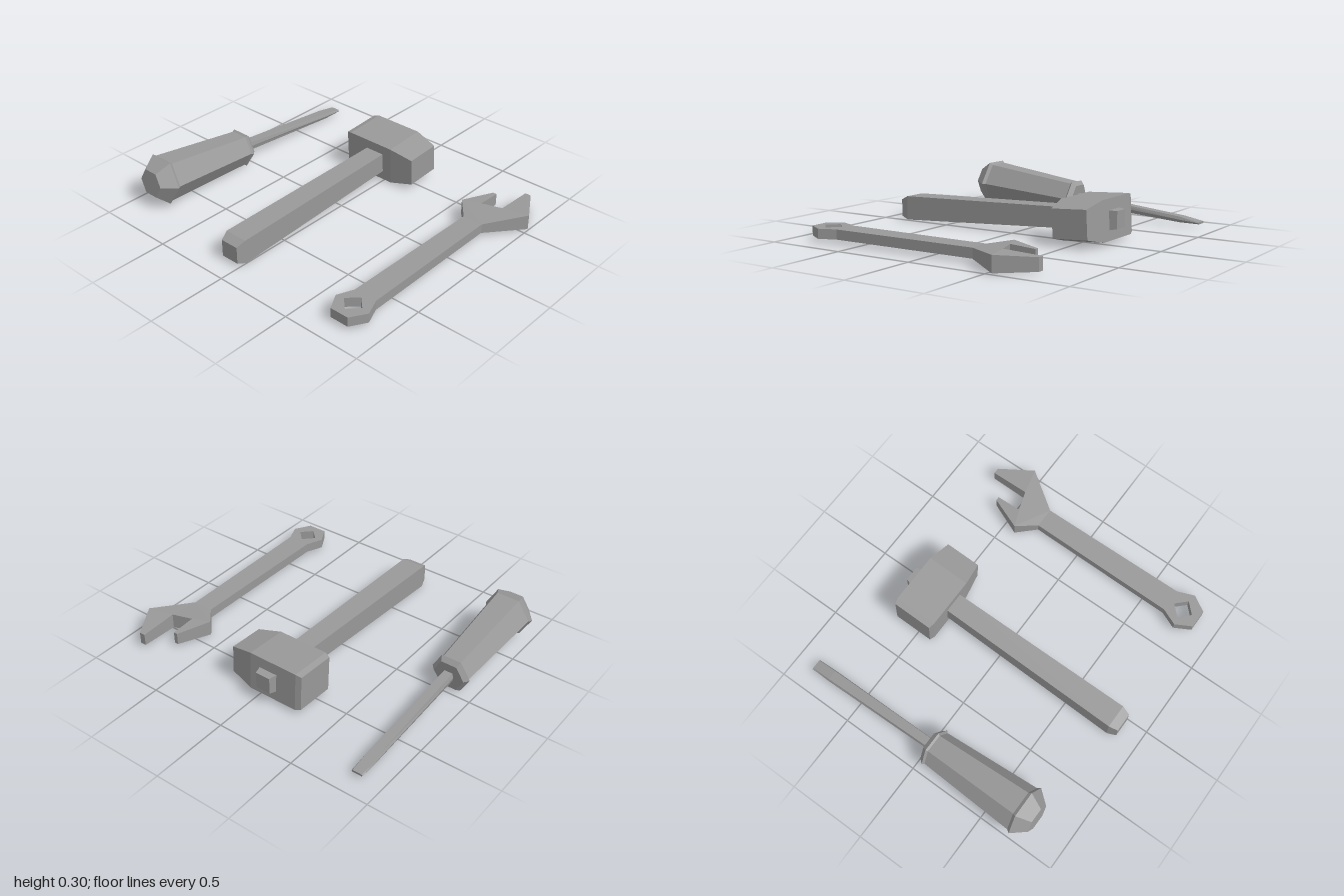
import * as THREE from 'three';

const gray = new THREE.MeshStandardMaterial({ color: 0x999999, flatShading: true });
gray.name = 'gray';

function fromTriangles(positions) {
  const geo = new THREE.BufferGeometry();
  geo.setAttribute('position', new THREE.Float32BufferAttribute(positions, 3));
  geo.computeVertexNormals();
  return geo;
}

// Skin a list of rings running from +z towards -z; each ring is [z, [[x, y], ...]] counter-clockwise.
function loft(rings) {
  const out = [];
  const n = rings[0][1].length;
  const at = (k, i) => [...rings[k][1][i % n], rings[k][0]];
  const tri = (...pts) => pts.forEach((p) => out.push(...p));
  const last = rings.length - 1;
  for (let k = 0; k < last; k++) {
    for (let i = 0; i < n; i++) {
      tri(at(k, i), at(k + 1, i), at(k, i + 1));
      tri(at(k + 1, i), at(k + 1, i + 1), at(k, i + 1));
    }
  }
  for (let i = 1; i < n - 1; i++) {
    tri(at(0, 0), at(0, i), at(0, i + 1));
    tri(at(last, 0), at(last, i + 1), at(last, i));
  }
  return fromTriangles(out);
}

const hexagon = (r) => Array.from({ length: 6 }, (_, i) => [r * Math.cos(i * Math.PI / 3), r * Math.sin(i * Math.PI / 3)]);
const rect = (x0, x1, y0, y1) => [[x0, y0], [x1, y0], [x1, y1], [x0, y1]];
const flatHex = (w, h) => [[w, 0], [w * 0.8, h], [-w * 0.8, h], [-w, 0], [-w * 0.8, -h], [w * 0.8, -h]];

function part(name, geo) {
  const mesh = new THREE.Mesh(geo, gray);
  mesh.name = name;
  return mesh;
}

function group(name, ...children) {
  const g = new THREE.Group();
  g.name = name;
  g.add(...children);
  return g;
}

function createScrewdriver() {
  // Grip with rounded butt and collar: [z, radius]
  const grip = [[0.79, 0.09], [0.705, 0.16], [0.685, 0.146], [0.06, 0.113], [0.048, 0.125], [0.02, 0.1]];
  // Shaft flattening into a blade: [z, half width, half height]
  const shaft = [[0.04, 0.033, 0.03], [-0.74, 0.039, 0.018], [-0.872, 0.036, 0.007]];
  const g = group('screwdriver',
    part('screwdriverGrip', loft(grip.map(([z, r]) => [z, hexagon(r)]))),
    part('screwdriverShaft', loft(shaft.map(([z, w, h]) => [z, flatHex(w, h)]))));
  g.position.set(-0.84, 0.11, 0);
  g.rotation.x = -0.09;
  return g;
}

function createHammer() {
  const handle = loft([
    [0.865, rect(-0.13, -0.01, 0.03, 0.138)],
    [0.81, rect(-0.147, 0.004, 0.012, 0.165)],
    [-0.4, rect(-0.132, -0.004, 0.075, 0.2)],
    [-0.66, rect(-0.13, -0.008, 0.09, 0.208)],
    [-0.71, rect(-0.117, -0.02, 0.1, 0.205)],
  ]);
  // Head sections along x: [x, half depth, half height]
  const sections = [[0.21, 0.114, 0.087], [0.06, 0.137, 0.123], [-0.265, 0.137, 0.123], [-0.3, 0.127, 0.112]];
  const head = part('hammerHead', loft(sections.map(([x, w, h]) => [x, rect(-w, w, -h, h)])).rotateY(Math.PI / 2));
  head.position.set(0, 0.145, -0.528);
  head.rotation.x = 0.055;
  return group('hammer', part('hammerHandle', handle), head);
}

function createWrench() {
  const S = 0.03, H = 0.048, T = 0.038;
  // Outline points: [x, z, half thickness]
  const outline = [
    [0.70, 0.865, S], [0.82, 0.865, S], [0.88, 0.765, S], [0.838, 0.66, S], [0.83, -0.3, S],
    [0.997, -0.54, H], [0.873, -0.745, T], [0.835, -0.745, T], [0.835, -0.5, H],
    [0.71, -0.46, H], [0.71, -0.62, T], [0.685, -0.62, T], [0.6, -0.415, H],
    [0.70, -0.3, S], [0.69, 0.66, S], [0.645, 0.765, S],
  ];
  const hole = [[0.76, 0.69, S], [0.825, 0.755, S], [0.76, 0.82, S], [0.695, 0.755, S]];
  // Faces: shank with eye, thickening neck, two jaws
  const pieces = [
    [[0, 1, 2, 3, 4, 13, 14, 15], [hole]],
    [[4, 5, 8, 9, 12, 13], []],
    [[5, 6, 7, 8], []],
    [[9, 10, 11, 12], []],
  ];
  const out = [];
  const put = ([x, z, t], side) => out.push(x, 0.061 + side * t, z);
  const flat = (pts) => pts.map(([x, z]) => new THREE.Vector2(x, -z));
  for (const [ids, holes] of pieces) {
    const pts = ids.map((i) => outline[i]);
    const all = [...pts, ...holes.flat()];
    for (const [a, b, c] of THREE.ShapeUtils.triangulateShape(flat(pts), holes.map(flat))) {
      [a, b, c].forEach((i) => put(all[i], 1));
      [a, c, b].forEach((i) => put(all[i], -1));
    }
  }
  // Walls around the outline and inside the eye
  for (const loop of [outline, hole]) {
    loop.forEach((p, i) => {
      const q = loop[(i + 1) % loop.length];
      put(p, -1); put(q, -1); put(q, 1);
      put(p, -1); put(q, 1); put(p, 1);
    });
  }
  return part('wrench', fromTriangles(out));
}

export function createModel() {
  return group('handTools', createScrewdriver(), createHammer(), createWrench());
}
